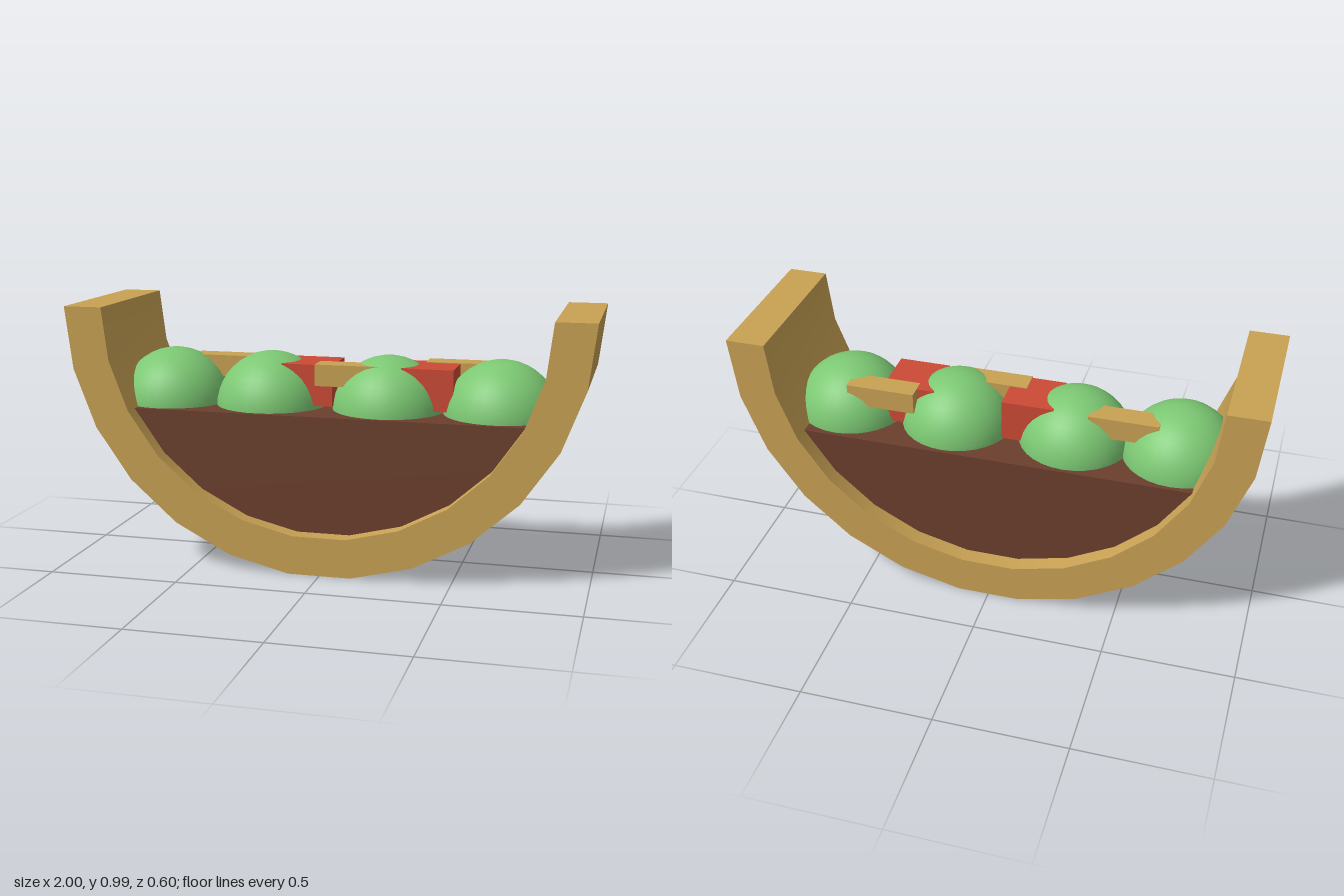
import * as THREE from 'three';
import { toCreasedNormals } from 'three/addons/utils/BufferGeometryUtils.js';

const material = (name, color) => {
  const m = new THREE.MeshStandardMaterial({ color });
  m.name = name;
  return m;
};

const SEGMENTS = 13;                                   // facets around the half ring
const STEP = Math.PI / SEGMENTS;
const CENTRE_Y = Math.sin(STEP * 6);                   // puts the lowest facet on y = 0

// Points along the lower half circle, from facet corner a to corner b
function arc(radius, a, b) {
  const points = [];
  for (let i = a; i <= b; i++) {
    points.push(new THREE.Vector2(-radius * Math.cos(i * STEP), CENTRE_Y - radius * Math.sin(i * STEP)));
  }
  return points;
}

// Extrudes an outline, centred on z = 0, with smooth curves and sharp rims
function slab(points, depth) {
  const geometry = new THREE.ExtrudeGeometry(new THREE.Shape(points), { depth, bevelEnabled: false });
  geometry.translate(0, 0, -depth / 2);
  return toCreasedNormals(geometry, 0.45);
}

export function createModel() {
  const group = new THREE.Group();
  const shellTan = material('shell tan', 0xc9a254);
  const meatBrown = material('meat brown', 0x6b3f2d);
  const lettuceGreen = material('lettuce green', 0x7cc873);
  const tomatoRed = material('tomato red', 0xcc4a35);

  const add = (name, geometry, mat, x = 0, y = 0, z = 0) => {
    const mesh = new THREE.Mesh(geometry, mat);
    mesh.name = name;
    mesh.position.set(x, y, z);
    group.add(mesh);
  };

  // Curved shell and the filling resting in it
  add('shell', slab([...arc(1, 0, SEGMENTS), ...arc(0.85, 0, SEGMENTS).reverse()], 0.6), shellTan);
  add('meatFilling', slab(arc(0.85, 2, SEGMENTS - 2), 0.47), meatBrown);

  // Lettuce balls
  const ball = new THREE.SphereGeometry(0.22, 32, 20);
  for (const x of [-0.668, -0.267, 0.202, 0.635]) add('lettuce', ball, lettuceGreen, x, 0.585, 0);

  // Tomato chunks
  const chunk = new THREE.BoxGeometry(0.2, 0.16, 0.2);
  for (const x of [-0.1, 0.367]) add('tomato', chunk, tomatoRed, x, 0.693, 0);

  // Cheese strips
  const strip = new THREE.BoxGeometry(0.266, 0.083, 0.09);
  for (const [x, z] of [[-0.466, -0.066], [0.067, 0.062], [0.467, -0.103]]) {
    add('cheese', strip, shellTan, x, 0.734, z);
  }
  return group;
}
